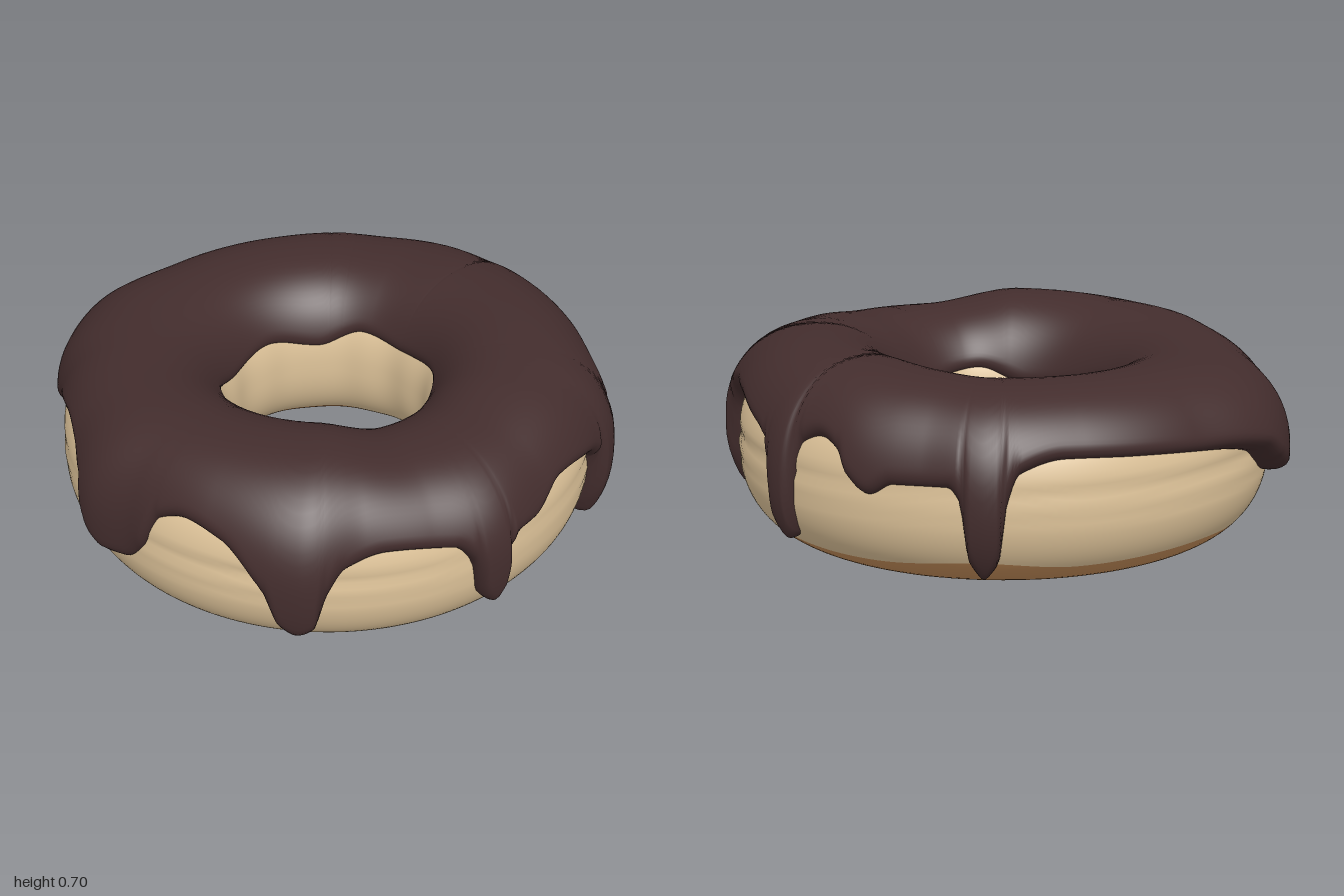
import * as THREE from 'three';

// Superellipse cross-section of the ring
const R = 0.65, A = 0.29, B = 0.31, N = 2.3;
const spow = (v, p) => Math.sign(v) * Math.abs(v) ** p;
const heightToAngle = (y) => Math.asin(spow((y - B) / B, N / 2));

// Smooth periodic curve through [degrees, value] pairs, without overshoot
function ringCurve(keys) {
  const n = keys.length;
  const key = (i) => {
    const w = Math.floor(i / n);
    const k = keys[i - w * n];
    return [k[0] + w * 360, k[1]];
  };
  const slope = (i) => (key(i + 1)[1] - key(i)[1]) / (key(i + 1)[0] - key(i)[0]);
  const tangent = (i) => {
    const a = slope(i - 1), b = slope(i);
    return a * b <= 0 ? 0 : (2 * a * b) / (a + b);
  };
  return (degrees) => {
    let d = ((degrees % 360) + 360) % 360;
    if (d < keys[0][0]) d += 360;
    let i = 0;
    while (i < n - 1 && key(i + 1)[0] <= d) i++;
    const [x0, y0] = key(i), [x1, y1] = key(i + 1);
    const h = x1 - x0, s = (d - x0) / h, s2 = s * s, s3 = s2 * s;
    return y0 * (2 * s3 - 3 * s2 + 1) + y1 * (3 * s2 - 2 * s3)
      + h * (tangent(i) * (s3 - 2 * s2 + s) + tangent(i + 1) * (s3 - s2));
  };
}

// Lower edge of the icing on the outside, with its drips
const outerEdge = ringCurve([
  [1, 0.45], [2.5, 0.37], [4, 0.14], [6, 0.11], [8, 0.14], [10, 0.33], [12, 0.42], [18, 0.455], [32, 0.49],
  [39, 0.49], [47, 0.45], [50, 0.39], [52.5, 0.17], [55, 0.1], [58, 0.09], [60, 0.15], [62, 0.36],
  [68, 0.425], [80, 0.46], [90, 0.4], [95, 0.395], [97.5, 0.35], [99, 0.21], [101.5, 0.17], [104, 0.2],
  [106, 0.35], [110, 0.42], [124, 0.45], [132, 0.41], [135.5, 0.32], [138, 0.19], [141.5, 0.17],
  [145, 0.2], [149, 0.34], [157, 0.46], [166, 0.49], [172, 0.46], [176, 0.32], [181, 0.24], [186, 0.23],
  [191, 0.27], [197, 0.42], [211, 0.48], [226, 0.41], [235, 0.29], [242, 0.25], [248, 0.28],
  [256, 0.37], [270, 0.42], [290, 0.45], [304, 0.46], [313, 0.42], [315.5, 0.32], [317, 0.13], [320, 0.08],
  [323, 0.13], [324.5, 0.33], [327, 0.375], [338, 0.37], [343, 0.33], [348, 0.38], [351, 0.45], [356, 0.48],
]);
// Edge of the icing in the hole
const innerEdge = ringCurve([
  [0, 0.44], [40, 0.47], [80, 0.42], [120, 0.46], [150, 0.4], [180, 0.42],
  [215, 0.47], [250, 0.41], [280, 0.44], [310, 0.4], [335, 0.46],
]);
const outerThickness = ringCurve([
  [0, 0.02], [7, 0.045], [35, 0.045], [56, 0.08], [64, 0.05], [85, 0.035], [100, 0.065], [115, 0.03],
  [128, 0.025], [141, 0.075], [160, 0.04], [178, 0.02], [190, 0.06], [205, 0.02], [225, 0.025],
  [240, 0.08], [253, 0.1], [275, 0.035], [300, 0.03], [319, 0.05], [332, 0.02], [347, 0.035],
]);
const topHeight = ringCurve([
  [0, 0.69], [35, 0.7], [70, 0.685], [90, 0.66], [113, 0.652], [140, 0.7],
  [180, 0.685], [215, 0.66], [247, 0.65], [320, 0.652], [340, 0.67],
]);
// Limits of the browned underside
const bakedOuter = ringCurve([
  [0, 0.08], [25, 0.09], [42, 0.115], [60, 0.09], [85, 0.08], [100, 0.065], [140, 0.07],
  [190, 0.08], [230, 0.07], [270, 0.1], [300, 0.09], [320, 0.115], [345, 0.085],
]);
const bakedInner = ringCurve([
  [0, 0.06], [60, 0.07], [105, 0.06], [115, 0.12], [135, 0.15], [150, 0.1], [160, 0.06], [250, 0.05], [310, 0.08],
]);

// Point on the ring: angle round it, angle round its section, offset along the normal
function ringPoint(degrees, t, offset) {
  const u = spow(Math.cos(t), 2 / N), v = spow(Math.sin(t), 2 / N);
  const nr = spow(u, N - 1) / A, ny = spow(v, N - 1) / B;
  const len = Math.hypot(nr, ny);
  const r = R + A * u + (offset * nr) / len;
  const phi = THREE.MathUtils.degToRad(degrees);
  return [r * Math.cos(phi), B + B * v + (offset * ny) / len, r * Math.sin(phi)];
}

// Closed band of columns round the ring; point(degrees, s) with s from 0 to 1
function band(name, material, columns, rows, point) {
  const positions = [], index = [];
  for (let i = 0; i < columns; i++) {
    for (let j = 0; j <= rows; j++) {
      positions.push(...point((i / columns) * 360, j / rows));
      if (j === rows) continue;
      const a = i * (rows + 1) + j, b = ((i + 1) % columns) * (rows + 1) + j;
      index.push(a, a + 1, b, b, a + 1, b + 1);
    }
  }
  const geometry = new THREE.BufferGeometry();
  geometry.setAttribute('position', new THREE.Float32BufferAttribute(positions, 3));
  geometry.setIndex(index);
  geometry.computeVertexNormals();
  const mesh = new THREE.Mesh(geometry, material);
  mesh.name = name;
  return mesh;
}

// Shallow creases round the side of the dough
function crease(degrees, t) {
  const phi = THREE.MathUtils.degToRad(degrees);
  if (Math.cos(t) < 0) return 0.004 * Math.sin(phi * 12) * Math.cos(t) ** 2;
  const y = B + B * spow(Math.sin(t), 2 / N);
  const fade = 0.7 + 0.3 * Math.sin(phi * 3);
  return -fade * (0.011 * Math.exp(-(((y - 0.35) / 0.022) ** 2)) + 0.004 * Math.exp(-(((y - 0.27) / 0.02) ** 2)));
}

function icingPoint(degrees, s) {
  const outer = (d) => heightToAngle(outerEdge(d));
  const inner = (d) => Math.PI - heightToAngle(innerEdge(d));
  const t0 = outer(degrees), t1 = inner(degrees);
  const t = t0 + ((t1 - t0) * (1 - Math.cos(Math.PI * s))) / 2;
  // Distance to the nearest edge, allowing for its slope, rounds the rim
  const distance = (gap, edge, radius) => {
    const slope = ((edge(degrees + 0.3) - edge(degrees - 0.3)) / THREE.MathUtils.degToRad(0.6)) * 0.3 / radius;
    return (gap * 0.3) / Math.hypot(1, slope);
  };
  const d = Math.min(distance(t - t0, outer, 0.95), distance(t1 - t, inner, 0.36));
  const k = THREE.MathUtils.clamp(d / 0.04, 0, 1);
  const rim = Math.sqrt(1 - (1 - k) ** 2);
  const c2 = Math.cos(t) ** 2;
  const side = Math.cos(t) > 0 ? outerThickness(degrees) : 0.018;
  const top = Math.sin(t) > 0 ? topHeight(degrees) - 2 * B : side;
  return ringPoint(degrees, t, (side * c2 + top * (1 - c2) + 0.006) * rim - 0.006);
}

export function createModel() {
  const colour = (name, hex) => {
    const material = new THREE.MeshStandardMaterial({ color: hex });
    material.name = name;
    return material;
  };
  const doughColour = colour('pale dough', 0xdfc49a);
  const bakedColour = colour('browned dough', 0xc48d59);
  const icingColour = colour('dark chocolate', 0x432d2d);

  const group = new THREE.Group();
  group.name = 'iced ring doughnut';
  const low = (d) => heightToAngle(bakedOuter(d));
  const high = (d) => Math.PI - heightToAngle(bakedInner(d));
  const between = (from, to) => (d, s) => {
    const t = THREE.MathUtils.lerp(from(d), to(d), s);
    return ringPoint(d, t, crease(d, t));
  };
  group.add(
    band('dough', doughColour, 180, 72, between(low, high)),
    band('brownedBase', bakedColour, 180, 20, between((d) => high(d) - 2 * Math.PI, low)),
    band('icing', icingColour, 600, 40, icingPoint),
  );
  return group;
}
